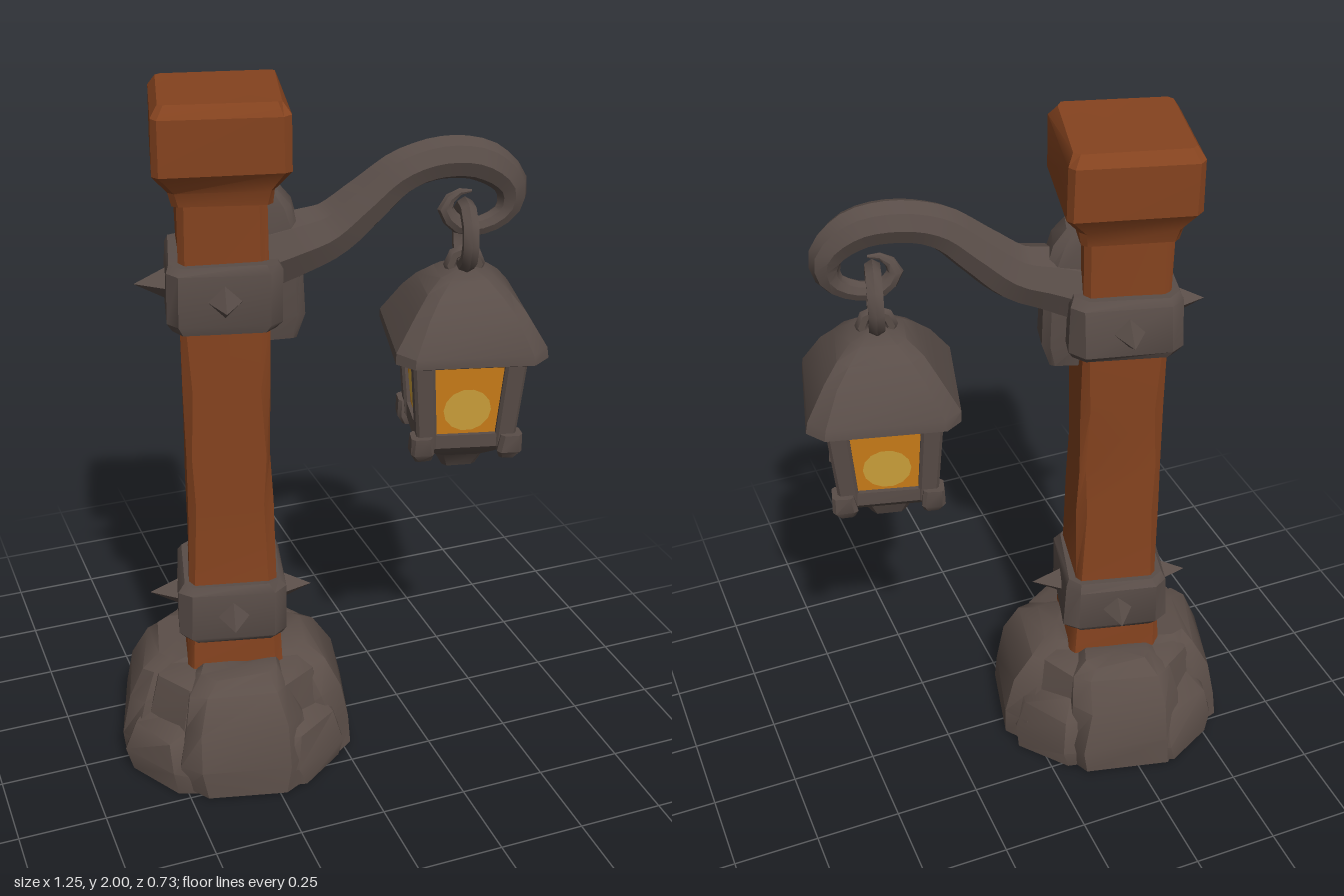
import * as THREE from 'three';
import { toCreasedNormals } from 'three/addons/utils/BufferGeometryUtils.js';

const material = (name, color) => {
  const m = new THREE.MeshStandardMaterial({ color });
  m.name = name;
  return m;
};

// Small seeded generator for hand-cut irregularity
let seed = 7;
const wobble = (amount) => {
  seed = (seed * 16807) % 2147483647;
  return (seed / 2147483647 - 0.5) * 2 * amount;
};

// Stack of chamfered rectangles: rows are [y, halfX, halfZ, chamfer, offsetX, offsetZ]
function loft(rows, jitter = 0, crease = 0.6) {
  const pos = [], index = [], n = 8;
  rows.forEach(([y, hx, hz, c, ox = 0, oz = 0]) => {
    const ring = [
      [hx, hz - c], [hx, c - hz], [hx - c, -hz], [c - hx, -hz],
      [-hx, c - hz], [-hx, hz - c], [c - hx, hz], [hx - c, hz],
    ];
    for (const [x, z] of ring) {
      pos.push(x + ox + wobble(jitter), Math.max(0, y + wobble(jitter * 0.6)), z + oz + wobble(jitter));
    }
  });
  for (let r = 0; r < rows.length - 1; r++) {
    for (let j = 0; j < n; j++) {
      const a = r * n + j, b = r * n + (j + 1) % n;
      index.push(a, b, b + n, a, b + n, a + n);
    }
  }
  const first = rows[0], last = rows[rows.length - 1];
  const bottom = pos.length / 3, top = bottom + 1, t0 = (rows.length - 1) * n;
  pos.push(first[4] || 0, first[0], first[5] || 0, last[4] || 0, last[0], last[5] || 0);
  for (let j = 0; j < n; j++) {
    const k = (j + 1) % n;
    index.push(bottom, k, j, top, t0 + j, t0 + k);
  }
  const g = new THREE.BufferGeometry();
  g.setAttribute('position', new THREE.Float32BufferAttribute(pos, 3));
  g.setIndex(index);
  return toCreasedNormals(g, crease);
}

// Tube whose radius follows a list of values along the path
function taperedTube(points, radii, segments, sides) {
  const curve = new THREE.CatmullRomCurve3(points.map((p) => new THREE.Vector3(...p)));
  const g = new THREE.TubeGeometry(curve, segments, 1, sides, false);
  const p = g.attributes.position, v = new THREE.Vector3();
  for (let i = 0; i <= segments; i++) {
    const t = i / segments, c = curve.getPointAt(t);
    const f = t * (radii.length - 1), k = Math.min(Math.floor(f), radii.length - 2);
    const r = THREE.MathUtils.lerp(radii[k], radii[k + 1], f - k);
    for (let j = 0; j <= sides; j++) {
      const id = i * (sides + 1) + j;
      v.fromBufferAttribute(p, id).sub(c).multiplyScalar(r).add(c);
      p.setXYZ(id, v.x, v.y, v.z);
    }
  }
  return toCreasedNormals(g, 0.7);
}

export function createModel() {
  seed = 7;
  const wood = material('warm wood', 0x85431f);
  const iron = material('dark iron', 0x594d48);
  const stone = material('brown stone', 0x5b4e48);
  const amber = material('amber glass', 0xd0801a);
  const glow = material('yellow glow', 0xd2a53c);

  const model = new THREE.Group();
  model.name = 'lanternPost';
  const body = new THREE.Group();
  body.name = 'turnedBody';
  body.position.set(-0.28, 0, -0.02);
  body.rotation.y = -0.25;
  model.add(body);

  const add = (parent, name, geometry, mat) => {
    const m = new THREE.Mesh(geometry, mat);
    m.name = name;
    parent.add(m);
    return m;
  };

  // Stone footing: a core with tall and low boulders around it
  add(body, 'footingCore', loft([
    [0.01, 0.27, 0.27, 0.1], [0.2, 0.25, 0.25, 0.1], [0.31, 0.22, 0.22, 0.08], [0.33, 0.18, 0.18, 0.05],
  ], 0.006), stone);
  for (let i = 0; i < 8; i++) {
    const tall = i % 2 === 0;
    const rows = tall
      ? [[0.01, 0.13, 0.17, 0.05, 0.2], [0.1, 0.135, 0.18, 0.05, 0.195], [0.22, 0.12, 0.165, 0.05, 0.18],
        [0.31, 0.09, 0.14, 0.04, 0.17], [0.345, 0.055, 0.1, 0.03, 0.16]]
      : [[0.01, 0.13, 0.14, 0.05, 0.21], [0.07, 0.135, 0.15, 0.05, 0.21], [0.17, 0.12, 0.13, 0.05, 0.2],
        [0.23, 0.09, 0.1, 0.04, 0.17], [0.29, 0.05, 0.08, 0.03, 0.14]];
    add(body, tall ? 'tallBoulder' : 'lowBoulder', loft(rows, 0.012, 0.7), stone)
      .rotation.y = i * Math.PI / 4 + wobble(0.08);
  }

  // Timber post and its flared cap
  add(body, 'post', loft([
    [0.25, 0.142, 0.142, 0.02], [0.4, 0.137, 0.137, 0.02], [0.62, 0.122, 0.122, 0.02],
    [0.85, 0.119, 0.119, 0.025], [1.0, 0.114, 0.114, 0.015], [1.2, 0.118, 0.118, 0.025],
    [1.4, 0.116, 0.116, 0.015], [1.74, 0.118, 0.118, 0.02],
  ], 0.004), wood);
  add(body, 'postCap', loft([
    [1.725, 0.128, 0.128, 0.015], [1.765, 0.136, 0.136, 0.015], [1.82, 0.174, 0.174, 0.018],
    [1.965, 0.174, 0.174, 0.018], [1.997, 0.155, 0.155, 0.015],
  ], 0.003, 0.4), wood);

  // Iron bands with a pyramid stud on each free side
  for (const [y, sides] of [[0.51, [0, 1, 2, 3]], [1.475, [1, 2, 3]]]) {
    add(body, 'ironBand', loft([
      [y - 0.093, 0.139, 0.139, 0.03], [y - 0.07, 0.153, 0.153, 0.035],
      [y + 0.07, 0.151, 0.151, 0.035], [y + 0.093, 0.137, 0.137, 0.03],
    ], 0.005), iron);
    for (const s of sides) {
      const cone = new THREE.ConeGeometry(0.052, 0.1, 4).rotateZ(-Math.PI / 2).translate(0.185, y, 0);
      add(body, 'bandStud', toCreasedNormals(cone, 0.3), iron).rotation.y = s * Math.PI / 2;
    }
  }

  // Bracket plate and hooked arm
  add(body, 'bracketPlate', loft([
    [1.32, 0.045, 0.05, 0.015, 0.15], [1.39, 0.06, 0.062, 0.02, 0.155], [1.6, 0.06, 0.066, 0.02, 0.15],
    [1.69, 0.045, 0.06, 0.02, 0.14], [1.73, 0.025, 0.045, 0.015, 0.125],
  ], 0.004), iron);
  add(body, 'hookedArm', taperedTube([
    [0.12, 1.55, 0], [0.2, 1.575, 0], [0.29, 1.605, -0.01], [0.385, 1.68, -0.015], [0.48, 1.755, -0.02],
    [0.59, 1.785, -0.03], [0.7, 1.77, -0.035], [0.775, 1.705, -0.04], [0.77, 1.635, -0.04],
    [0.71, 1.595, -0.035], [0.64, 1.595, -0.033], [0.6, 1.645, -0.033], [0.63, 1.685, -0.033], [0.67, 1.69, -0.033],
  ], [0.1, 0.09, 0.078, 0.07, 0.062, 0.058, 0.058, 0.056, 0.046, 0.03, 0.026, 0.022, 0.004], 36, 8), iron);

  // Lantern hanging from the hook
  const lantern = new THREE.Group();
  lantern.name = 'lantern';
  lantern.position.set(0.658, 0, -0.033);
  body.add(lantern);

  add(lantern, 'hangingRing', toCreasedNormals(
    new THREE.TorusGeometry(0.08, 0.024, 6, 10).rotateY(Math.PI / 2).translate(0, 1.565, 0), 0.7), iron);
  add(lantern, 'roofLoop', toCreasedNormals(
    new THREE.TorusGeometry(0.04, 0.018, 6, 8).translate(0, 1.485, 0), 0.7), iron);
  add(lantern, 'roof', loft([
    [1.25, 0.175, 0.175, 0.035], [1.265, 0.207, 0.207, 0.045], [1.295, 0.203, 0.203, 0.045],
    [1.385, 0.152, 0.152, 0.035], [1.43, 0.115, 0.115, 0.03], [1.465, 0.075, 0.075, 0.025], [1.48, 0.03, 0.03, 0.01],
  ], 0.003, 0.5), iron);
  add(lantern, 'glass', loft([[1.0, 0.118, 0.118, 0.01], [1.27, 0.144, 0.144, 0.01]]), amber);
  add(lantern, 'lowerFrame', loft([
    [0.89, 0.05, 0.05, 0.015], [0.935, 0.07, 0.07, 0.02], [0.965, 0.112, 0.112, 0.025],
    [0.99, 0.134, 0.134, 0.02], [1.03, 0.133, 0.133, 0.02],
  ], 0.002, 0.5), iron);
  add(lantern, 'upperFrame', loft([[1.245, 0.15, 0.15, 0.02], [1.265, 0.153, 0.153, 0.02]]), iron);

  for (const sx of [-1, 1]) {
    for (const sz of [-1, 1]) {
      add(lantern, 'cornerBar', loft([
        [0.99, 0.028, 0.028, 0.008, sx * 0.108, sz * 0.108], [1.265, 0.03, 0.03, 0.008, sx * 0.128, sz * 0.128],
      ]), iron);
      add(lantern, 'cornerFoot', loft([
        [0.955, 0.022, 0.022, 0.008, sx * 0.118, sz * 0.118], [0.98, 0.034, 0.034, 0.01, sx * 0.122, sz * 0.122],
        [1.03, 0.03, 0.03, 0.01, sx * 0.125, sz * 0.125],
      ], 0.002), iron);
    }
  }

  // Round glow lying on each pane, leaning outward with the glass
  for (let i = 0; i < 4; i++) {
    const disc = new THREE.CircleGeometry(0.066, 14).rotateX(0.096).translate(0, 1.105, 0.131);
    add(lantern, 'flameGlow', disc, glow).rotation.y = i * Math.PI / 2;
  }

  return model;
}
